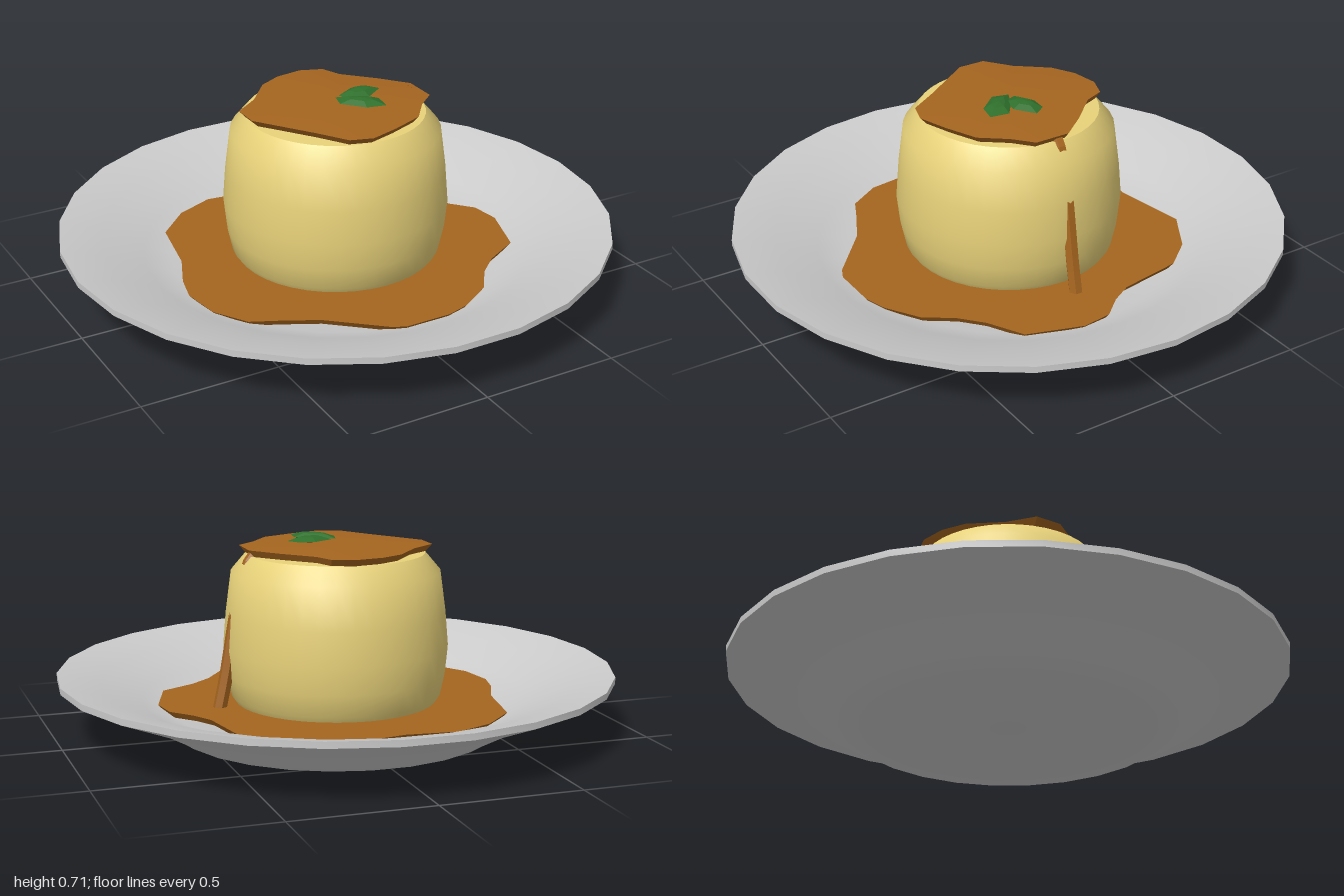
import * as THREE from 'three';
import { toCreasedNormals } from 'three/addons/utils/BufferGeometryUtils.js';

const mat = (color, extra = {}) => new THREE.MeshStandardMaterial({ color, ...extra });

function addMesh(group, name, geometry, material) {
  const mesh = new THREE.Mesh(geometry, material);
  mesh.name = name;
  group.add(mesh);
  return mesh;
}

function lathe(profile, segments, crease) {
  const pts = profile.map(([r, y]) => new THREE.Vector2(r, y));
  return toCreasedNormals(new THREE.LatheGeometry(pts, segments, Math.PI / 2), crease);
}

// Irregular slab: an [x, z] outline scaled about its middle at each [scale, y] ring, top to bottom
function slab(outline, rings) {
  const n = outline.length;
  const cx = outline.reduce((s, p) => s + p[0], 0) / n;
  const cz = outline.reduce((s, p) => s + p[1], 0) / n;
  const pos = [], idx = [];
  for (const [s, y] of rings) {
    for (const [x, z] of outline) pos.push(cx + (x - cx) * s, y, cz + (z - cz) * s);
  }
  for (let r = 0; r < rings.length - 1; r++) {
    for (let i = 0; i < n; i++) {
      const j = (i + 1) % n;
      const a = r * n + i, b = r * n + j, c = b + n, d = a + n;
      if (rings[r][0] > 0) idx.push(a, b, d);
      if (rings[r + 1][0] > 0) idx.push(b, c, d);
    }
  }
  const g = new THREE.BufferGeometry();
  g.setAttribute('position', new THREE.Float32BufferAttribute(pos, 3));
  g.setIndex(idx);
  return toCreasedNormals(g, 0.5);
}

export function createModel() {
  const model = new THREE.Group();
  model.name = 'puddingOnPlate';
  const caramel = mat(0xa5651f);
  const leafGreen = mat(0x2f702c, { flatShading: true });

  // Shallow plate
  addMesh(model, 'plate', lathe([
    [0, 0], [0.58, 0], [0.62, 0.025], [0.75, 0.095], [1, 0.197], [1, 0.22],
    [0.85, 0.185], [0.7, 0.12], [0.6, 0.085], [0, 0.08],
  ], 26, 0.7), mat(0xcccccc));

  // Pudding body
  addMesh(model, 'pudding', lathe([
    [0, 0.09], [0.35, 0.09], [0.378, 0.13], [0.395, 0.21], [0.405, 0.31],
    [0.395, 0.43], [0.375, 0.58], [0.32, 0.645], [0, 0.65],
  ], 40, 0.8), mat(0xe8d27a));

  // Caramel pool on the plate
  addMesh(model, 'saucePool', slab([
    [-0.24, -0.58], [-0.06, -0.56], [0.22, -0.605], [0.38, -0.51], [0.47, -0.4],
    [0.51, -0.165], [0.555, -0.085], [0.62, -0.01], [0.635, 0.1], [0.57, 0.3],
    [0.44, 0.37], [0.36, 0.44], [0.29, 0.54], [0.17, 0.615], [0.085, 0.64],
    [-0.085, 0.64], [-0.13, 0.62], [-0.315, 0.46], [-0.44, 0.395], [-0.535, 0.35],
    [-0.61, 0.23], [-0.63, 0.085], [-0.605, -0.02], [-0.545, -0.16], [-0.5, -0.4],
    [-0.38, -0.52],
  ], [[0, 0.112], [1, 0.108], [0.97, 0.085], [0, 0.085]]), caramel);

  // Caramel cap on top of the pudding
  addMesh(model, 'sauceCap', slab([
    [0.04, -0.34], [0.12, -0.31], [0.15, -0.235], [0.25, -0.13], [0.33, -0.03],
    [0.33, 0.1], [0.26, 0.16], [0.19, 0.25], [0.07, 0.3], [-0.04, 0.335],
    [-0.12, 0.31], [-0.19, 0.2], [-0.33, 0], [-0.33, -0.1], [-0.235, -0.17],
    [-0.145, -0.28], [-0.06, -0.325],
  ], [[0, 0.69], [1, 0.67], [0.93, 0.643], [0, 0.638]]), caramel);

  // Drip running down the left side
  const dripPath = new THREE.CatmullRomCurve3([
    [0.29, 0.66], [0.325, 0.61], [0.348, 0.52], [0.367, 0.46], [0.41, 0.22], [0.438, 0.09],
  ].map(([x, y]) => new THREE.Vector3(x, y, 0)));
  addMesh(model, 'drip', new THREE.TubeGeometry(dripPath, 12, 0.025, 6),
    mat(0xa5651f, { flatShading: true, side: THREE.DoubleSide }));

  // Two garnish leaves
  const leaves = [
    [[0.02, -0.01], [0.09, -0.05], [0.15, -0.045], [0.18, 0], [0.11, 0.05], [0.04, 0.04]],
    [[-0.015, 0.06], [0, 0], [0.07, 0.035], [0.13, 0.08], [0.12, 0.15], [0.05, 0.135]],
  ];
  leaves.forEach((outline, i) => addMesh(model, `leaf${i + 1}`,
    slab(outline, [[0, 0.708], [0.5, 0.704], [1, 0.691], [0, 0.682]]), leafGreen));

  return model;
}
